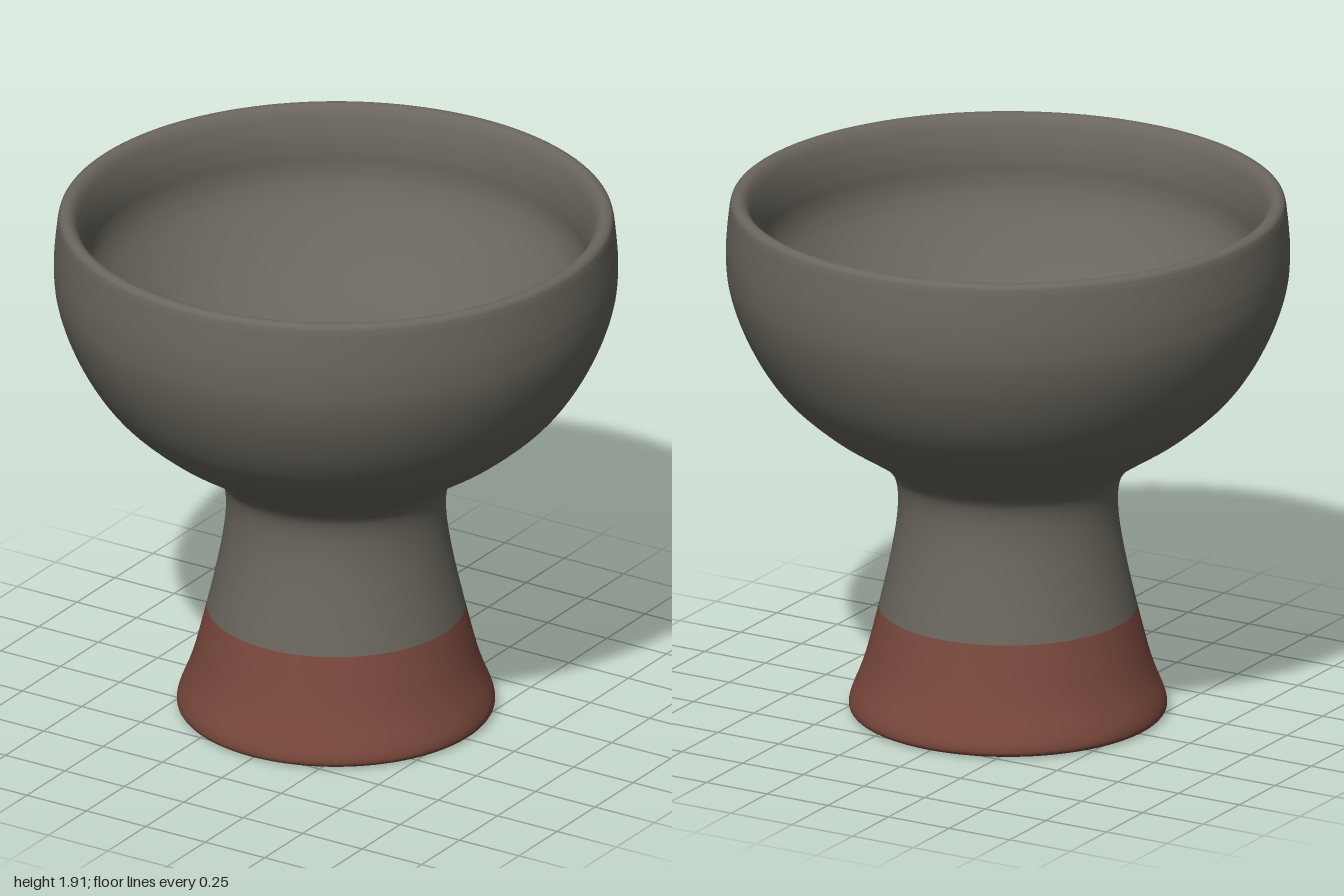
import * as THREE from 'three';

const glaze = new THREE.MeshStandardMaterial({ color: 0x6a665d });
glaze.name = 'grey glaze';
const clay = new THREE.MeshStandardMaterial({ color: 0x79483c });
clay.name = 'bare red clay';

// Smooth curve through [radius, height] points
function smooth(points, steps) {
  return new THREE.SplineCurve(points.map(([r, y]) => new THREE.Vector2(r, y))).getPoints(steps);
}

function turned(name, profile, material) {
  const mesh = new THREE.Mesh(new THREE.LatheGeometry(profile, 128), material);
  mesh.name = name;
  return mesh;
}

export function createModel() {
  const goblet = new THREE.Group();
  goblet.name = 'footedBowl';

  // Underside of the foot
  goblet.add(turned('footUnderside', [new THREE.Vector2(0, 0), new THREE.Vector2(0.535, 0)], clay));

  // Unglazed flared foot with a rounded lower edge
  goblet.add(turned('foot', smooth([
    [0.535, 0], [0.557, 0.01], [0.564, 0.03], [0.555, 0.07], [0.523, 0.15],
    [0.498, 0.23], [0.458, 0.39],
  ], 40), clay));

  // Glazed stem sweeping out into the bowl
  goblet.add(turned('stemAndBowl', smooth([
    [0.458, 0.39], [0.42, 0.56], [0.396, 0.7], [0.39, 0.8], [0.4, 0.87],
    [0.425, 0.915], [0.466, 0.955], [0.54, 1.005], [0.66, 1.085], [0.79, 1.2],
    [0.88, 1.32], [0.95, 1.46], [0.99, 1.59], [1.0, 1.7], [0.996, 1.79], [0.987, 1.875],
  ], 100), glaze));

  // Rounded lip running down into the steep inner wall and the dished floor
  goblet.add(turned('rimAndInterior', smooth([
    [0.987, 1.875], [0.98, 1.9], [0.963, 1.911], [0.945, 1.909], [0.928, 1.895],
    [0.913, 1.865], [0.898, 1.81], [0.891, 1.75], [0.89, 1.69], [0.88, 1.635],
    [0.85, 1.57], [0.78, 1.475], [0.68, 1.375], [0.54, 1.285], [0.36, 1.225],
    [0.18, 1.2], [0, 1.195],
  ], 140), glaze));

  return goblet;
}
